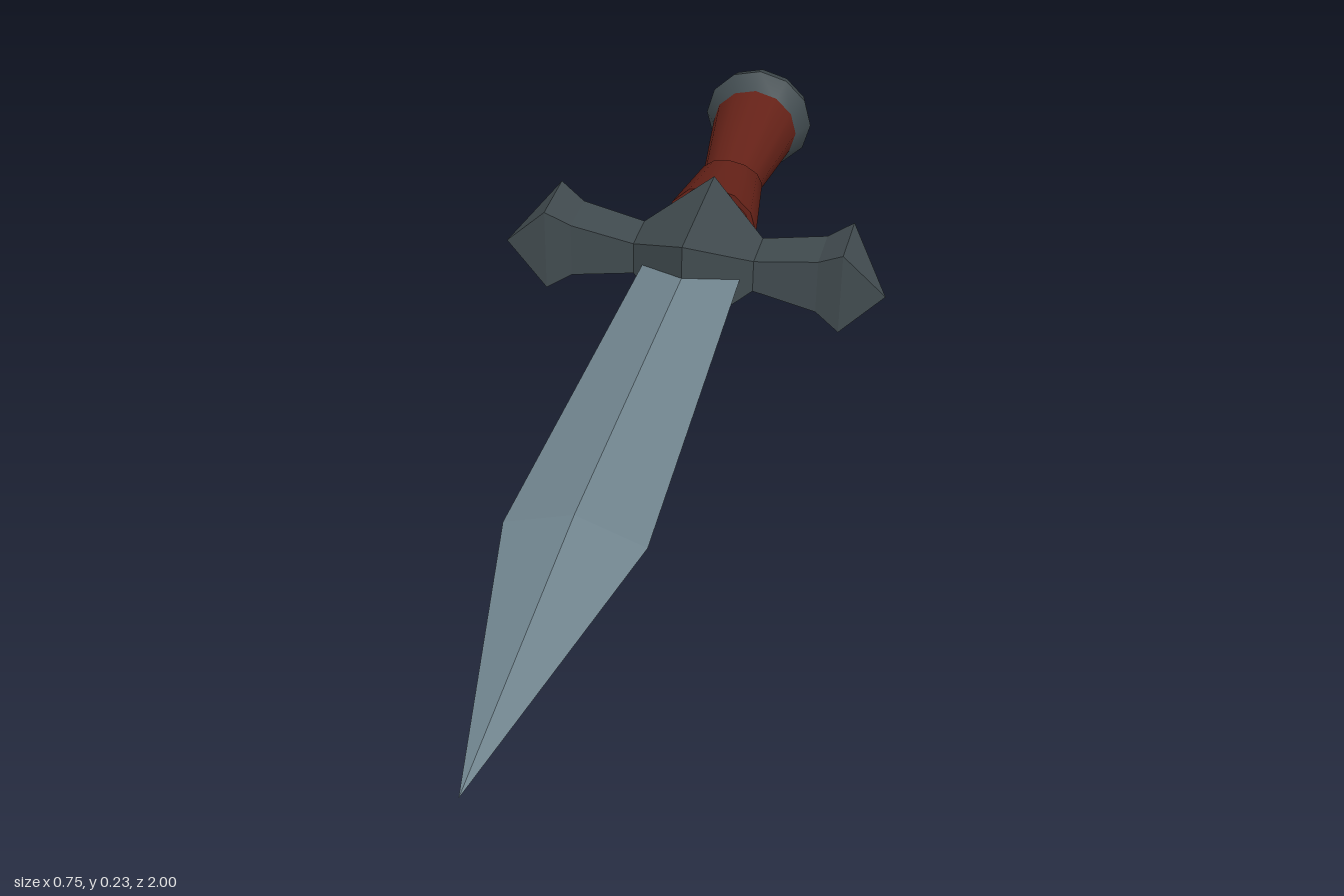
import * as THREE from 'three';
import { toCreasedNormals } from 'three/addons/utils/BufferGeometryUtils.js';

const MID = 0.115; // height of the dagger's long axis

// Flat-shaded skin over rings of points, each counter-clockwise seen from the far end
function loft(rings) {
  const pos = [];
  for (let k = 0; k + 1 < rings.length; k++) {
    const a = rings[k], b = rings[k + 1], n = a.length;
    for (let i = 0; i < n; i++) {
      const j = (i + 1) % n;
      pos.push(...a[i], ...a[j], ...b[j], ...a[i], ...b[j], ...b[i]);
    }
  }
  const geo = new THREE.BufferGeometry();
  geo.setAttribute('position', new THREE.Float32BufferAttribute(pos, 3));
  geo.computeVertexNormals();
  return geo;
}

// Twelve-sided turned part along z, profile given as [radius, z]
function turned(profile) {
  const points = profile.map(([r, z]) => new THREE.Vector2(r, z));
  return new THREE.LatheGeometry(points, 12).rotateX(Math.PI / 2);
}

export function createModel() {
  const group = new THREE.Group();
  const steel = new THREE.MeshStandardMaterial({ color: 0x71858f, flatShading: true });
  const iron = new THREE.MeshStandardMaterial({ color: 0x414b4f, flatShading: true });
  const ironSmooth = new THREE.MeshStandardMaterial({ color: 0x414b4f });
  const leather = new THREE.MeshStandardMaterial({ color: 0x662218, side: THREE.DoubleSide });

  const add = (name, geo, mat) => {
    const mesh = new THREE.Mesh(geo, mat);
    mesh.name = name;
    mesh.position.y = MID;
    group.add(mesh);
  };

  // Blade: diamond sections [z, half width, half thickness]
  const blade = [[-0.4, 0.094, 0.033], [0.43, 0.122, 0.043], [1, 0, 0]];
  add('blade', loft(blade.map(([z, w, h]) =>
    [[w, 0, z], [0, h, z], [-w, 0, z], [0, -h, z]])), steel);

  // Crossguard: rectangular sections [x, half height, back z, front z], mirrored
  const side = [
    [0.118, 0.034, -0.445, -0.362],
    [0.242, 0.057, -0.45, -0.358],
    [0.29, 0.087, -0.463, -0.345],
    [0.373, 0, -0.36, -0.36],
  ];
  const mirrored = side.map(([x, ...rest]) => [-x, ...rest]).reverse();
  const guard = [...mirrored, [0, 0.104, -0.53, -0.272], ...side];
  add('crossguard', loft(guard.map(([x, h, b, f]) =>
    [[x, -h, b], [x, h, b], [x, h, f], [x, -h, f]])), iron);

  // Grip: neck, flared front wrap and rear wrap
  add('gripNeck', turned([[0.08, -0.515], [0.077, -0.4]]), leather);

  const front = turned([[0.064, -0.69], [0.091, -0.51], [0.078, -0.51]]);
  const p = front.attributes.position;
  for (let i = 0; i < p.count; i++) {
    // the rear edge of the wrap dips to a V above and below
    if (p.getZ(i) < -0.6) p.setZ(i, -0.69 + 0.03 * Math.abs(p.getY(i)) / 0.064);
  }
  add('gripFront', toCreasedNormals(front, 0.7), leather);

  add('gripRear', turned([[0.09, -0.91], [0.06, -0.69], [0.056, -0.63]]), leather);

  // Pommel: domed cap with a chamfered rim
  add('pommel', toCreasedNormals(turned([
    [0, -1], [0.053, -1], [0.09, -0.985], [0.105, -0.97],
    [0.113, -0.945], [0.087, -0.9], [0, -0.9],
  ]), 0.7), ironSmooth);

  return group;
}
